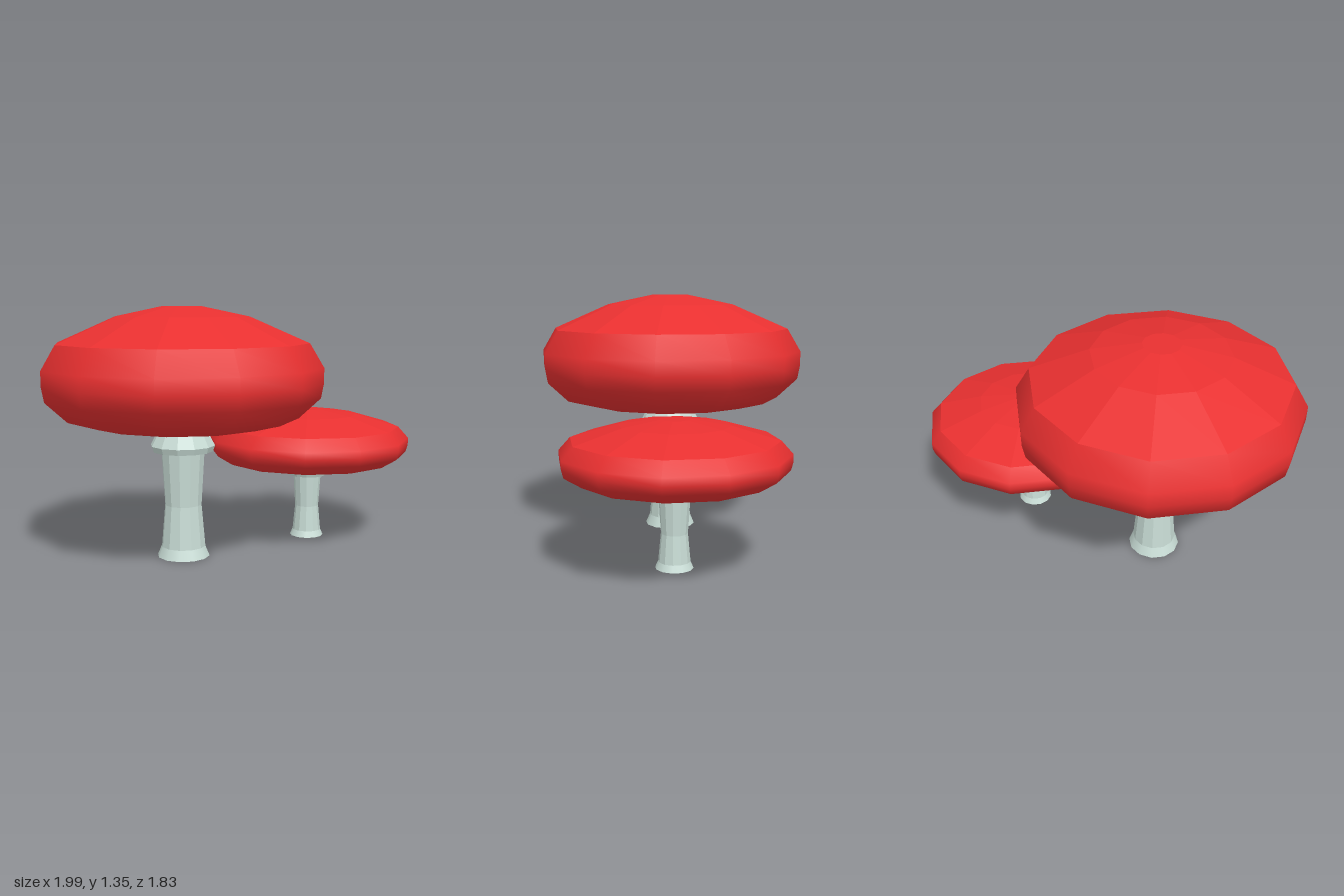
import * as THREE from 'three';

const SIDES = 12;
const red = { color: 0xe83030 };
const pale = { color: 0xc8dcd5 };

// Profiles are [radius, height], running so that the faces point outwards
const profiles = {
  capTop: [[0.675, 1.157], [0.36, 1.295], [0.1, 1.35], [0, 1.35]],
  capRim: [[0.29, 0.92], [0.31, 0.83], [0.37, 0.75], [0.47, 0.725], [0.62, 0.763],
    [0.735, 0.87], [0.75, 0.95], [0.75, 1.03], [0.675, 1.157]],
  capRecess: [[0, 0.92], [0.29, 0.92]],
  stemHole: [[0, 0.14], [0.06, 0.12], [0.07, 0]],
  stemFoot: [[0.07, 0], [0.143, 0]],
  stemFlare: [[0.143, 0], [0.12, 0.055]],
  stemShaft: [[0.12, 0.055], [0.1, 0.285], [0.118, 0.585]],
  stemCollar: [[0.11, 0.575], [0.163, 0.578], [0.175, 0.61], [0.115, 0.725],
    [0.08, 0.83], [0.08, 0.88], [0.06, 0.92]],
};

function lathe(name, color, flatShading) {
  const points = profiles[name].map(([r, y]) => new THREE.Vector2(r, y));
  const mesh = new THREE.Mesh(
    new THREE.LatheGeometry(points, SIDES),
    new THREE.MeshStandardMaterial({ ...color, flatShading, side: THREE.DoubleSide })
  );
  mesh.name = name;
  return mesh;
}

function createMushroom(name) {
  const mushroom = new THREE.Group();
  mushroom.name = name;

  // Cap: faceted dome, smooth rolled rim and flat recess under it
  const cap = new THREE.Group();
  cap.name = 'cap';
  cap.add(lathe('capTop', red, true), lathe('capRim', red, false), lathe('capRecess', red, true));

  // Stem: hollow foot, flare, waisted shaft and skirt-like collar
  const stem = new THREE.Group();
  stem.name = 'stem';
  stem.add(
    lathe('stemHole', pale, false), lathe('stemFoot', pale, true), lathe('stemFlare', pale, false),
    lathe('stemShaft', pale, true), lathe('stemCollar', pale, true)
  );
  mushroom.add(cap, stem);
  return { mushroom, cap, stem };
}

export function createModel() {
  const model = new THREE.Group();
  model.name = 'mushrooms';

  const large = createMushroom('largeMushroom');
  large.mushroom.position.set(-0.248, 0, 0.165);

  // The small one has a flatter cap and a shorter, thinner stem
  const small = createMushroom('smallMushroom');
  small.mushroom.position.set(0.41, 0, -0.335);
  small.cap.scale.set(0.775, 0.512, 0.775);
  small.cap.position.y = 0.755 - 1.35 * 0.512;
  small.stem.scale.set(0.68, 0.63, 0.68);

  model.add(large.mushroom, small.mushroom);
  return model;
}
